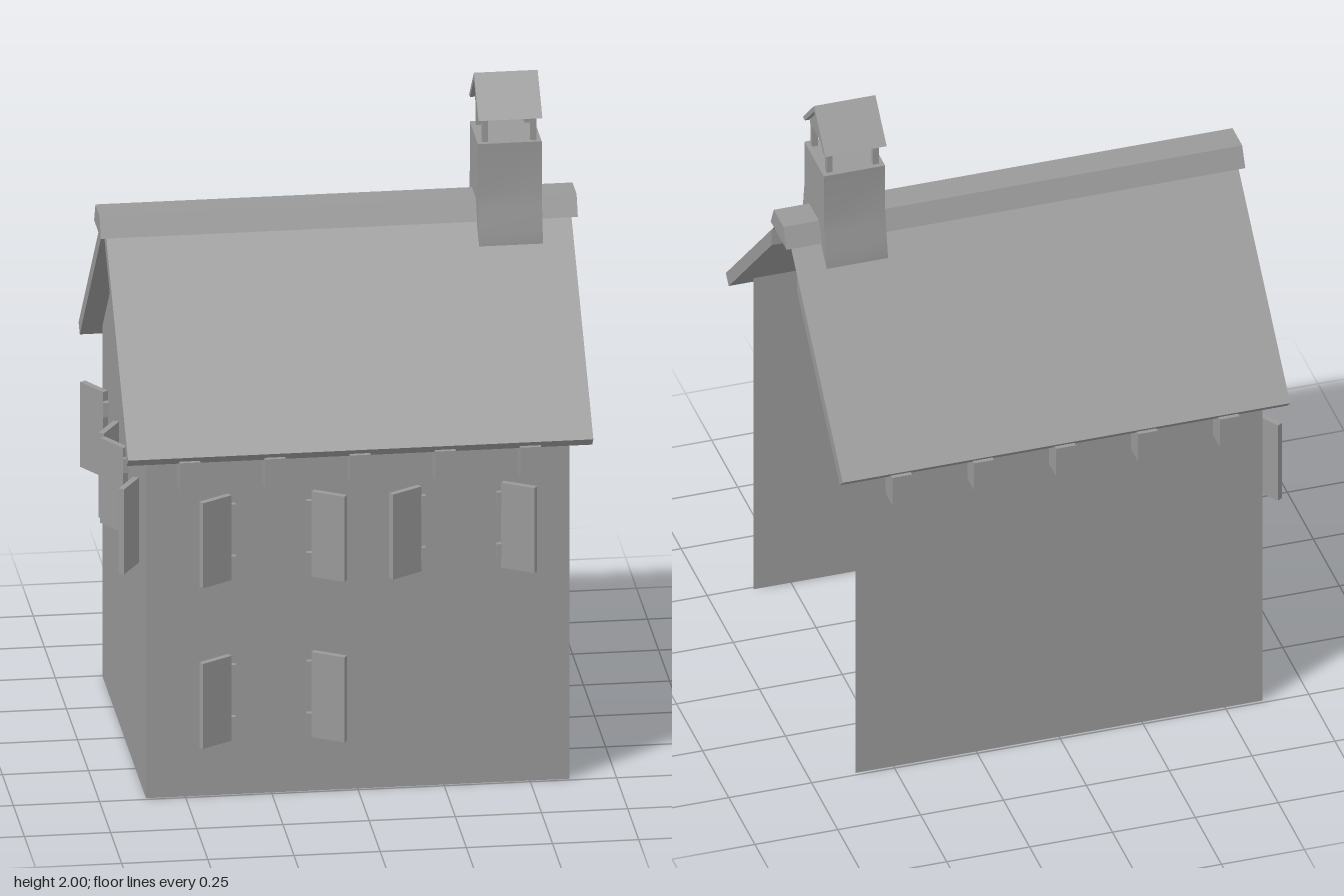
import * as THREE from 'three';
import { toCreasedNormals } from 'three/addons/utils/BufferGeometryUtils.js';

const solid = new THREE.MeshStandardMaterial({ color: 0x999999 });
const thin = new THREE.MeshStandardMaterial({ color: 0x999999, side: THREE.DoubleSide });

function add(parent, name, geometry, material = solid) {
  const mesh = new THREE.Mesh(geometry, material);
  mesh.name = name;
  parent.add(mesh);
  return mesh;
}

const outline = (points) => new THREE.Shape(points.map(([u, v]) => new THREE.Vector2(u, v)));

// Solid bar with a [z, y] section, running along x
function bar(points, x0, x1) {
  return new THREE.ExtrudeGeometry(outline(points), { depth: x1 - x0, bevelEnabled: false })
    .rotateY(-Math.PI / 2).translate(x1, 0, 0);
}

// Flat panel with a [z, y] outline, standing at x
function endPanel(points, x) {
  return new THREE.ShapeGeometry(outline(points)).rotateY(-Math.PI / 2).translate(x, 0, 0);
}

// Open sheet following a [z, y] profile, running along x; gentle bends are smooth
function sheet(points, x0, x1) {
  const pos = [];
  for (let i = 0; i + 1 < points.length; i++) {
    const [za, ya] = points[i], [zb, yb] = points[i + 1];
    pos.push(x0, ya, za, x1, ya, za, x1, yb, zb, x0, ya, za, x1, yb, zb, x0, yb, zb);
  }
  const g = new THREE.BufferGeometry();
  g.setAttribute('position', new THREE.Float32BufferAttribute(pos, 3));
  return toCreasedNormals(g, 0.5);
}

function box(parent, name, w, h, d, x, y, z) {
  return add(parent, name, new THREE.BoxGeometry(w, h, d).translate(x, y, z));
}

// Pair of half-open shutters around a window, each with two hinge straps on the wall
function shutterPair() {
  const pair = new THREE.Group();
  pair.name = 'shutterPair';
  const length = 0.105, thickness = 0.018, hinge = 0.125;
  for (const turn of [0, Math.PI]) {
    const side = new THREE.Group();
    side.name = 'shutterSide';
    side.rotation.z = turn;
    const leaf = box(side, 'shutter', length, 0.262, thickness, length / 2, 0, thickness / 2);
    leaf.position.x = hinge;
    leaf.rotation.y = -0.55;
    for (const y of [-0.08, 0.08]) box(side, 'hingeStrap', 0.022, 0.044, 0.016, 0.114, y, 0.008);
    pair.add(side);
  }
  return pair;
}

export function createModel() {
  const house = new THREE.Group();
  house.name = 'house';
  const W = 0.614, D = 0.49;

  // Walls: front, back and one gable, with the other end and the floor open
  const eave = 1.085, peak = 1.575;
  add(house, 'frontWall', sheet([[D, 0], [D, eave]], -W, W), thin);
  add(house, 'backWall', sheet([[-D, eave], [-D, 0]], -W, W), thin);
  add(house, 'gableWall', endPanel([[-D, 0], [D, 0], [D, eave], [0, peak], [-D, eave]], -W), thin);

  // Roof slabs, cut back around the chimney and closed over the cut beside it
  const roof = new THREE.Group();
  roof.name = 'roof';
  house.add(roof);
  const top = 1.63, R = 0.675, cx0 = 0.4, cx1 = 0.585, cz = 0.12;
  for (const s of [1, -1]) {
    for (const [x0, x1, z0] of [[-R, cx0, 0], [cx0, cx1, 0.105], [cx1, R, cz]]) {
      const section = [[z0, peak - z0], [0.532, peak - 0.532], [0.56, top - 0.56], [z0, top - z0]];
      add(roof, 'roofSlab', bar(section.map(([z, y]) => [s * z, y]), x0, x1));
    }
  }
  add(roof, 'roofSkin', sheet([[cz, top - cz], [0, top], [-cz, top - cz]], cx1, R), thin);
  add(roof, 'ridgeCap', bar([[-0.076, 1.57], [0.076, 1.57], [0.046, 1.63], [-0.046, 1.63]], -0.692, 0.692));

  // Brackets under both eaves
  for (const s of [1, -1]) {
    for (let i = -2; i <= 2; i++) {
      box(house, 'eaveBracket', 0.06, 0.095, 0.065, i * 0.247, 1.005, s * (D + 0.0325));
    }
  }

  // Shutters on the front and on the closed gable
  for (const [x, y] of [[-0.252, 0.797], [0.299, 0.797], [-0.252, 0.302]]) {
    const pair = shutterPair();
    pair.position.set(x, y, D);
    house.add(pair);
  }
  for (const z of [-0.246, 0.206]) {
    const pair = shutterPair();
    pair.position.set(-W, 0.797, z);
    pair.rotation.y = -Math.PI / 2;
    house.add(pair);
  }

  // Chimney: flared stack above the roof, flue open on one side below it
  const chimney = new THREE.Group();
  chimney.name = 'chimney';
  house.add(chimney);
  const flare = [[cz, 1.513], [0.112, 1.56], [0.101, 1.62], [0.093, 1.665], [0.093, 1.815]];
  const mirrored = flare.map(([z, y]) => [-z, y]).reverse();
  const stack = [...flare, ...mirrored];
  const full = [[cz, 1.107], ...stack, [-cz, 1.107]];
  add(chimney, 'stackShell', sheet(full, cx0, cx1), thin);
  add(chimney, 'stackInnerEnd', endPanel(full, cx0), thin);
  add(chimney, 'stackOuterEnd', endPanel(stack, cx1), thin);

  // Chimney hood on four posts
  for (const x of [0.423, 0.563]) {
    for (const z of [-0.07, 0.07]) box(chimney, 'hoodPost', 0.017, 0.08, 0.017, x, 1.85, z);
  }
  add(chimney, 'hoodCore', bar([[-0.08, 1.886], [0.08, 1.886], [0.08, 1.9], [0, 1.98], [-0.08, 1.9]], 0.414, 0.572));
  add(chimney, 'hoodRoof', bar([[0, 2], [-0.108, 1.892], [-0.088, 1.892], [0, 1.98],
    [0.088, 1.892], [0.108, 1.892]], cx0, cx1));

  return house;
}
